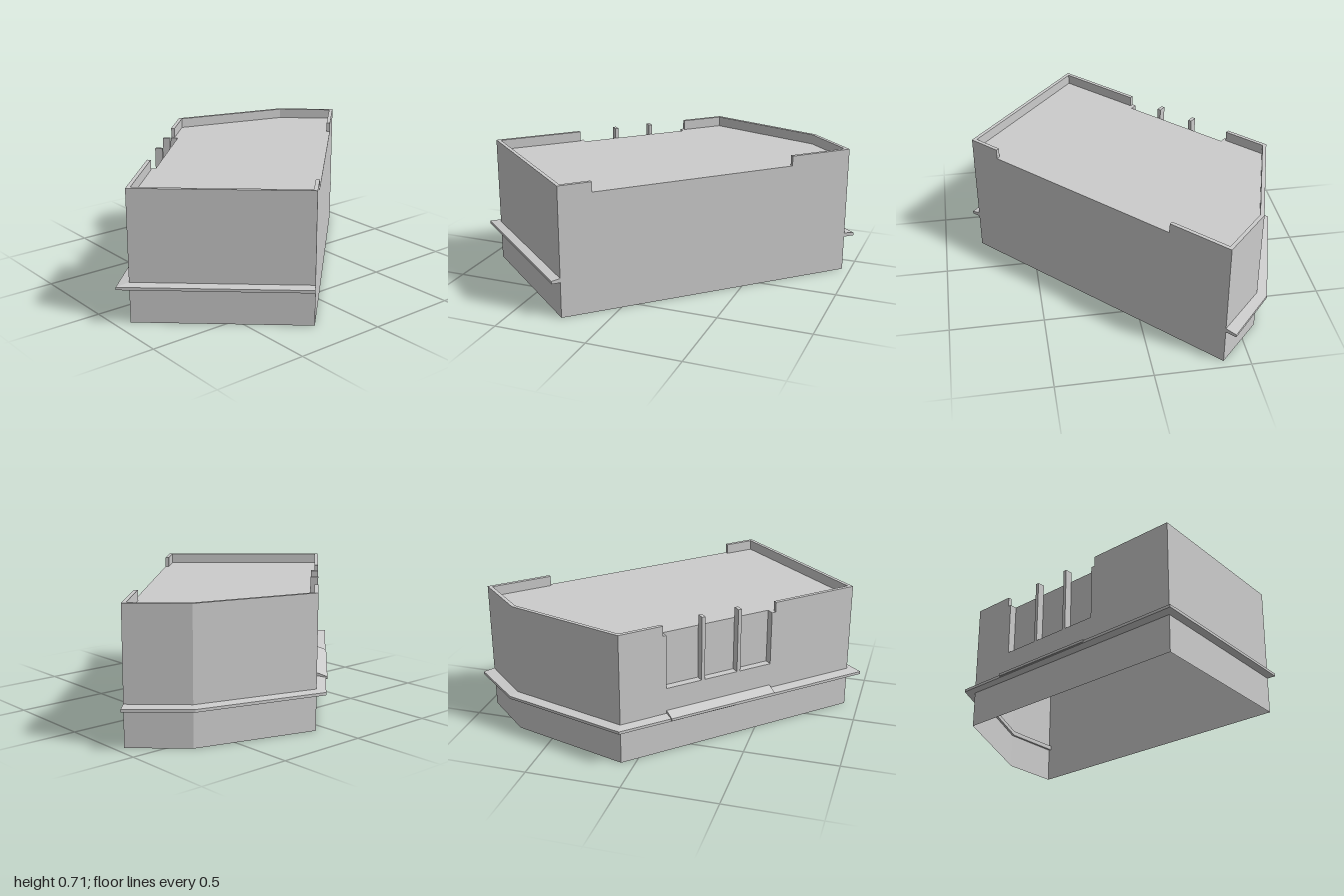
import * as THREE from 'three';

const grey = new THREE.MeshStandardMaterial({ color: 0xcccccc, side: THREE.DoubleSide });
grey.name = 'lightGrey';

// Plan corners as [x, z]
const A = [-0.925, 0.185], B = [-0.233, 0.793], C = [0.955, -0.365], D = [0.71, -0.59], E = [0.07, -0.78];
const ROOF = 0.652, TOP = 0.706, RECESS = 0.36, WALL = 0.02;

const lerp = (p, q, t) => [p[0] + (q[0] - p[0]) * t, p[1] + (q[1] - p[1]) * t];
const BACK_IN = [0.696, 0.718]; // inward direction of the long back wall
const inset = (p, d) => [p[0] + BACK_IN[0] * d, p[1] + BACK_IN[1] * d];

// Flat-shaded mesh from four-cornered faces
function quads(name, faces) {
  const pos = [];
  for (const [a, b, c, d] of faces) pos.push(...a, ...b, ...c, ...a, ...c, ...d);
  const g = new THREE.BufferGeometry();
  g.setAttribute('position', new THREE.Float32BufferAttribute(pos, 3));
  g.computeVertexNormals();
  const m = new THREE.Mesh(g, grey);
  m.name = name;
  return m;
}

// Vertical sheet following a closed plan
function wallBand(name, plan, y0, y1) {
  return quads(name, plan.map((p, i) => {
    const q = plan[(i + 1) % plan.length];
    return [[p[0], y0, p[1]], [q[0], y0, q[1]], [q[0], y1, q[1]], [p[0], y1, p[1]]];
  }));
}

const planShape = (plan) => new THREE.Shape(plan.map(([x, z]) => new THREE.Vector2(x, -z)));

// Flat sheet (height 0) or upright prism from a plan
function slab(name, plan, y, height) {
  const g = height
    ? new THREE.ExtrudeGeometry(planShape(plan), { depth: height, bevelEnabled: false })
    : new THREE.ShapeGeometry(planShape(plan));
  g.rotateX(-Math.PI / 2).translate(0, y, 0);
  const m = new THREE.Mesh(g, grey);
  m.name = name;
  return m;
}

// Offset an open counter-clockwise path inward with mitred corners
function offsetPath(path, d) {
  const normal = (p, q) => {
    const dx = q[0] - p[0], dz = q[1] - p[1], l = Math.hypot(dx, dz);
    return [dz / l, -dx / l];
  };
  return path.map((p, i) => {
    const n1 = i > 0 ? normal(path[i - 1], p) : normal(p, path[1]);
    const n2 = i < path.length - 1 ? normal(p, path[i + 1]) : n1;
    const k = d / (1 + n1[0] * n2[0] + n1[1] * n2[1]);
    return [p[0] + (n1[0] + n2[0]) * k, p[1] + (n1[1] + n2[1]) * k];
  });
}

export function createModel() {
  const model = new THREE.Group();
  model.name = 'building';

  // Walls: plain below, with a shallow window recess in the back above
  const r0 = lerp(A, E, 0.368), r1 = lerp(A, E, 0.812);
  const i0 = inset(r0, 0.04), i1 = inset(r1, 0.04);
  const upper = [A, B, C, D, E, r1, i1, i0, r0];
  model.add(wallBand('lowerWalls', [A, B, C, D, E], 0, RECESS));
  model.add(wallBand('upperWalls', upper, RECESS, ROOF));
  model.add(slab('recessSill', [r0, i0, i1, r1], RECESS, 0));
  model.add(slab('roof', upper, ROOF, 0));

  // Parapets, open at the front and above the recess
  const runs = {
    rightParapet: [lerp(A, E, 0.352), A, B, lerp(B, C, 0.108)],
    leftParapet: [lerp(B, C, 0.788), C, D, E, lerp(A, E, 0.825)],
  };
  for (const [name, path] of Object.entries(runs)) {
    model.add(slab(name, [...path, ...offsetPath(path, WALL).reverse()], ROOF, TOP - ROOF));
  }

  // Two mullions standing in the recess
  for (const t of [0.508, 0.66]) {
    const p = lerp(A, E, t - 0.007), q = lerp(A, E, t + 0.007);
    model.add(slab('mullion', [p, inset(p, 0.04), inset(q, 0.04), q], RECESS, TOP + 0.003 - RECESS));
  }

  // Ledge around every wall but the front, its top sloping outward
  const wall = [B, A, E, D, C];
  const rim = [[-0.265, 0.827], [-1, 0.18], [0.058, -0.835], [0.735, -0.637], [1, -0.407]];
  const rings = wall.map((w, i) => {
    const o = rim[i], n = lerp(w, o, -0.25);
    return [[n[0], 0.195, n[1]], [o[0], 0.195, o[1]], [o[0], 0.21, o[1]], [n[0], 0.22, n[1]]];
  });
  const faces = [rings[0], [...rings[4]].reverse()];
  for (let i = 0; i < 4; i++) {
    for (let k = 0; k < 4; k++) {
      const j = (k + 1) % 4;
      faces.push([rings[i][k], rings[i + 1][k], rings[i + 1][j], rings[i][j]]);
    }
  }
  model.add(quads('ledge', faces));

  // Sloped sill on the ledge below the recess
  const section = (p) => {
    const o = inset(p, -0.057);
    return [[p[0], 0.2, p[1]], [o[0], 0.2, o[1]], [o[0], 0.214, o[1]], [p[0], 0.235, p[1]]];
  };
  const s0 = section(r0), s1 = section(r1);
  const sill = [s0, [...s1].reverse()];
  for (let k = 0; k < 4; k++) {
    const j = (k + 1) % 4;
    sill.push([s0[k], s1[k], s1[j], s0[j]]);
  }
  model.add(quads('ledgeSill', sill));

  return model;
}
